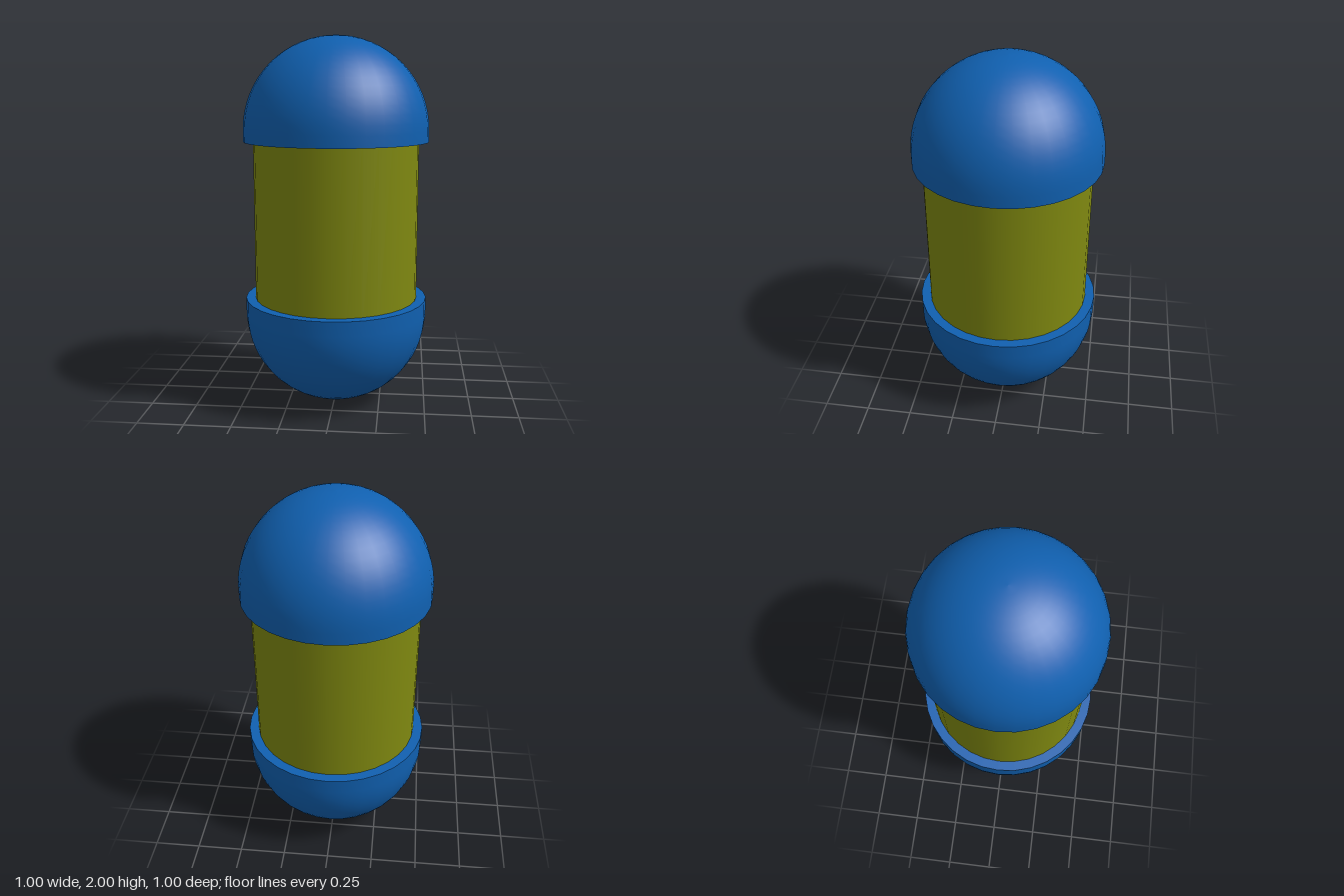
import * as THREE from 'three';

const SIDES = 32;
const RADIUS = 0.5;
const BODY_RADIUS = 0.447;

// Dome with a short straight collar and a flat rim; its rim lies at y = 0
function createCap(name, collar, material) {
  const cap = new THREE.Group();
  cap.name = name;

  const profile = [new THREE.Vector2(RADIUS, 0)];
  const steps = 16;
  for (let i = 0; i <= steps; i++) {
    const a = (i / steps) * Math.PI / 2;
    profile.push(new THREE.Vector2(i === steps ? 0 : RADIUS * Math.cos(a), collar + RADIUS * Math.sin(a)));
  }
  const dome = new THREE.Mesh(new THREE.LatheGeometry(profile, SIDES), material);
  dome.name = 'dome';

  // Flat ledge between the dome edge and the body, facing away from the dome
  const ledge = new THREE.LatheGeometry(
    [new THREE.Vector2(BODY_RADIUS - 0.01, 0), new THREE.Vector2(RADIUS, 0)], SIDES);
  const rim = new THREE.Mesh(ledge, material);
  rim.name = 'rim';

  cap.add(dome, rim);
  return cap;
}

export function createModel() {
  const model = new THREE.Group();
  model.name = 'capsule';
  const blue = new THREE.MeshStandardMaterial({ color: 0x1060b0 });
  const olive = new THREE.MeshStandardMaterial({ color: 0x7f8810 });

  // Body, reaching a little way into both caps
  const body = new THREE.Mesh(new THREE.CylinderGeometry(BODY_RADIUS, BODY_RADIUS, 1, SIDES), olive);
  body.name = 'body';
  body.position.y = 1;

  const topCap = createCap('topCap', 0.06, blue);
  topCap.position.y = 1.44;

  const bottomCap = createCap('bottomCap', 0.08, blue);
  bottomCap.rotation.x = Math.PI;
  bottomCap.position.y = 0.58;

  model.add(body, topCap, bottomCap);
  return model;
}
